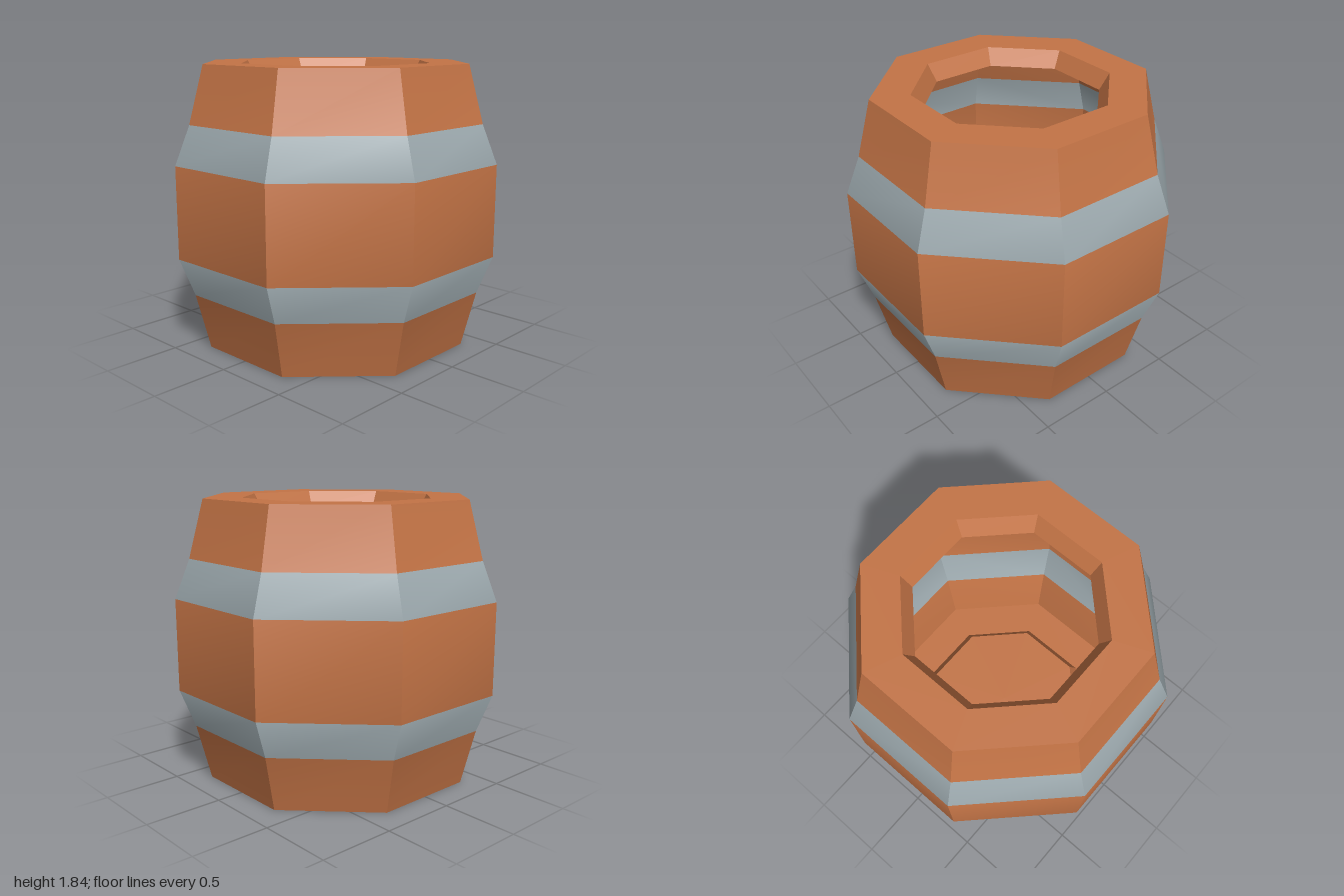
import * as THREE from 'three';

const SIDES = 8;
const HALF = Math.PI / SIDES;

// Octagonal shell from [apothem, y] rows: creased at the corners, smooth up each side.
// rowMaterials gives the material index of each row.
function shell(profile, rowMaterials) {
  const positions = [];
  const index = [];
  const rows = profile.length;
  for (let s = 0; s < SIDES; s++) {
    const base = s * rows * 2;
    for (const [r, y] of profile) {
      for (const side of [-1, 1]) {
        const a = s * 2 * HALF + side * HALF;
        const R = r / Math.cos(HALF);
        positions.push(Math.sin(a) * R, y, Math.cos(a) * R);
      }
    }
    // index is grouped per row below
    for (let i = 0; i < rows - 1; i++) {
      const b = base + i * 2;
      (index[i] ??= []).push(b, b + 1, b + 3, b, b + 3, b + 2);
    }
  }
  const geometry = new THREE.BufferGeometry();
  geometry.setAttribute('position', new THREE.Float32BufferAttribute(positions, 3));
  geometry.setIndex(index.flat());
  let start = 0;
  index.forEach((row, i) => {
    geometry.addGroup(start, row.length, rowMaterials ? rowMaterials[i] : 0);
    start += row.length;
  });
  geometry.computeVertexNormals();
  return geometry;
}

export function createModel() {
  const wood = new THREE.MeshStandardMaterial({ color: 0xc47446, side: THREE.DoubleSide });
  wood.name = 'wood';
  const metal = new THREE.MeshStandardMaterial({ color: 0xa2afb4, side: THREE.DoubleSide });
  metal.name = 'metal';

  const barrel = new THREE.Group();
  barrel.name = 'barrel';
  const add = (name, geometry) => {
    const mesh = new THREE.Mesh(geometry, [wood, metal]);
    mesh.name = name;
    barrel.add(mesh);
  };

  // Bulging staves with two metal hoops
  add('stavesAndHoops', shell(
    [[0.825, 0], [0.91, 0.37], [1, 0.62], [1, 1.22], [0.91, 1.47], [0.82, 1.84]],
    [0, 1, 0, 1, 0]
  ));

  // Open top: flat rim and sloping inner lip
  add('topRim', shell([[0.82, 1.84], [0.59, 1.84]]));
  add('topLip', shell([[0.59, 1.84], [0.53, 1.73]]));

  // Closed base: flat rim, sloping lip and recessed floor
  add('bottomRim', shell([[0.59, 0], [0.825, 0]]));
  add('bottomLip', shell([[0.53, 0.11], [0.59, 0]]));
  const floor = new THREE.CircleGeometry(0.53 / Math.cos(HALF), SIDES, HALF);
  floor.rotateX(Math.PI / 2).translate(0, 0.11, 0);
  floor.addGroup(0, floor.index.count, 0);
  add('floor', floor);

  return barrel;
}
